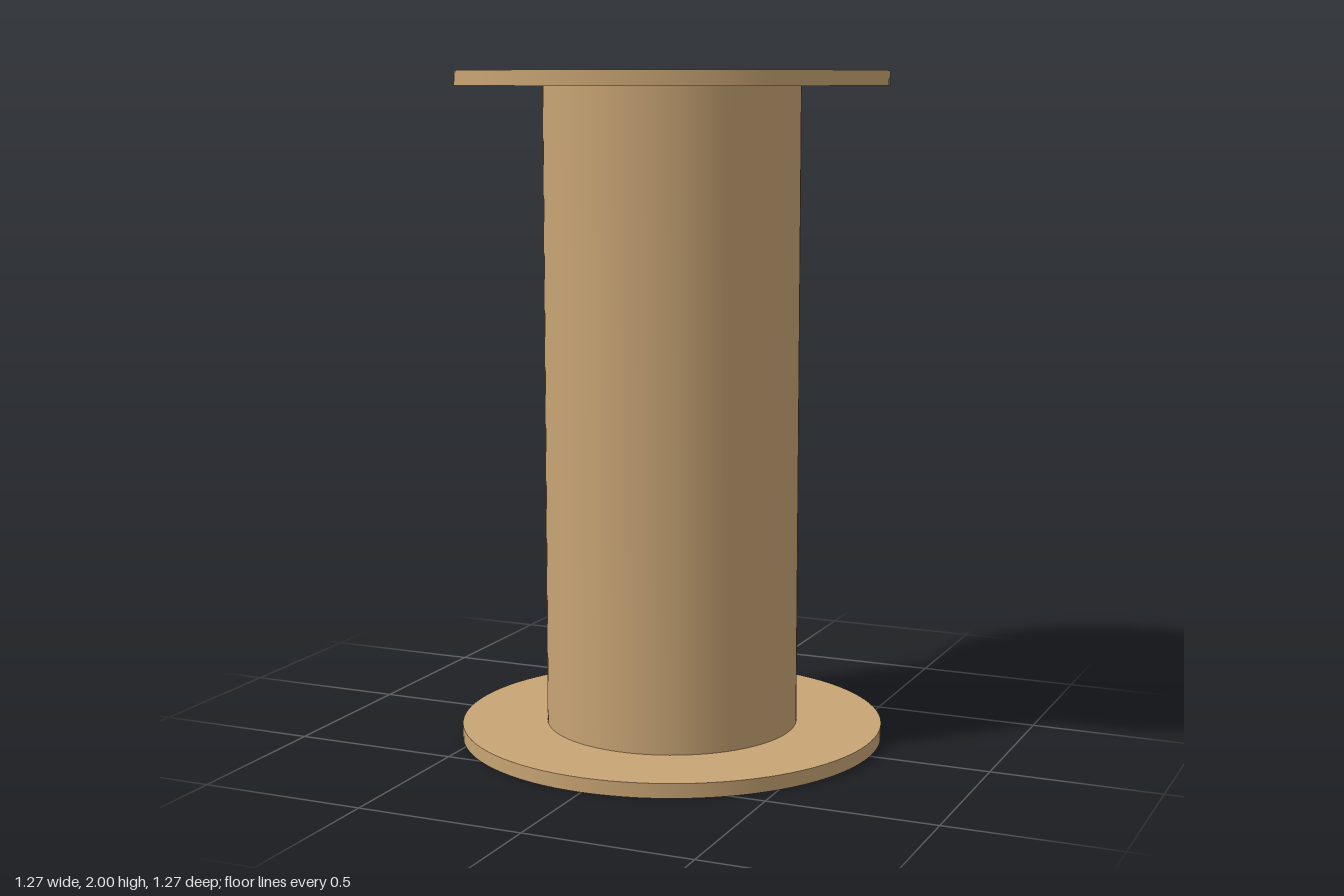
import * as THREE from 'three';
import { toCreasedNormals } from 'three/addons/utils/BufferGeometryUtils.js';

const HEIGHT = 2;
const FLANGE = 0.043;
const BORE_R = 0.351;
const CORE_R = 0.38;
const FLANGE_R = 0.637;

// Ring of rectangular section, spun around the y axis
function ring(name, outerR, y0, y1, material) {
  const profile = [
    [BORE_R, y0], [outerR, y0], [outerR, y1], [BORE_R, y1], [BORE_R, y0],
  ].map(([r, y]) => new THREE.Vector2(r, y));
  const geometry = toCreasedNormals(new THREE.LatheGeometry(profile, 96), 0.6);
  const mesh = new THREE.Mesh(geometry, material);
  mesh.name = name;
  return mesh;
}

export function createModel() {
  const group = new THREE.Group();
  group.name = 'spool';
  const wood = new THREE.MeshStandardMaterial({ color: 0xc8a474 });

  // Hollow core between two wide end flanges
  group.add(
    ring('bottomFlange', FLANGE_R, 0, FLANGE, wood),
    ring('core', CORE_R, FLANGE, HEIGHT - FLANGE, wood),
    ring('topFlange', FLANGE_R, HEIGHT - FLANGE, HEIGHT, wood),
  );
  return group;
}
